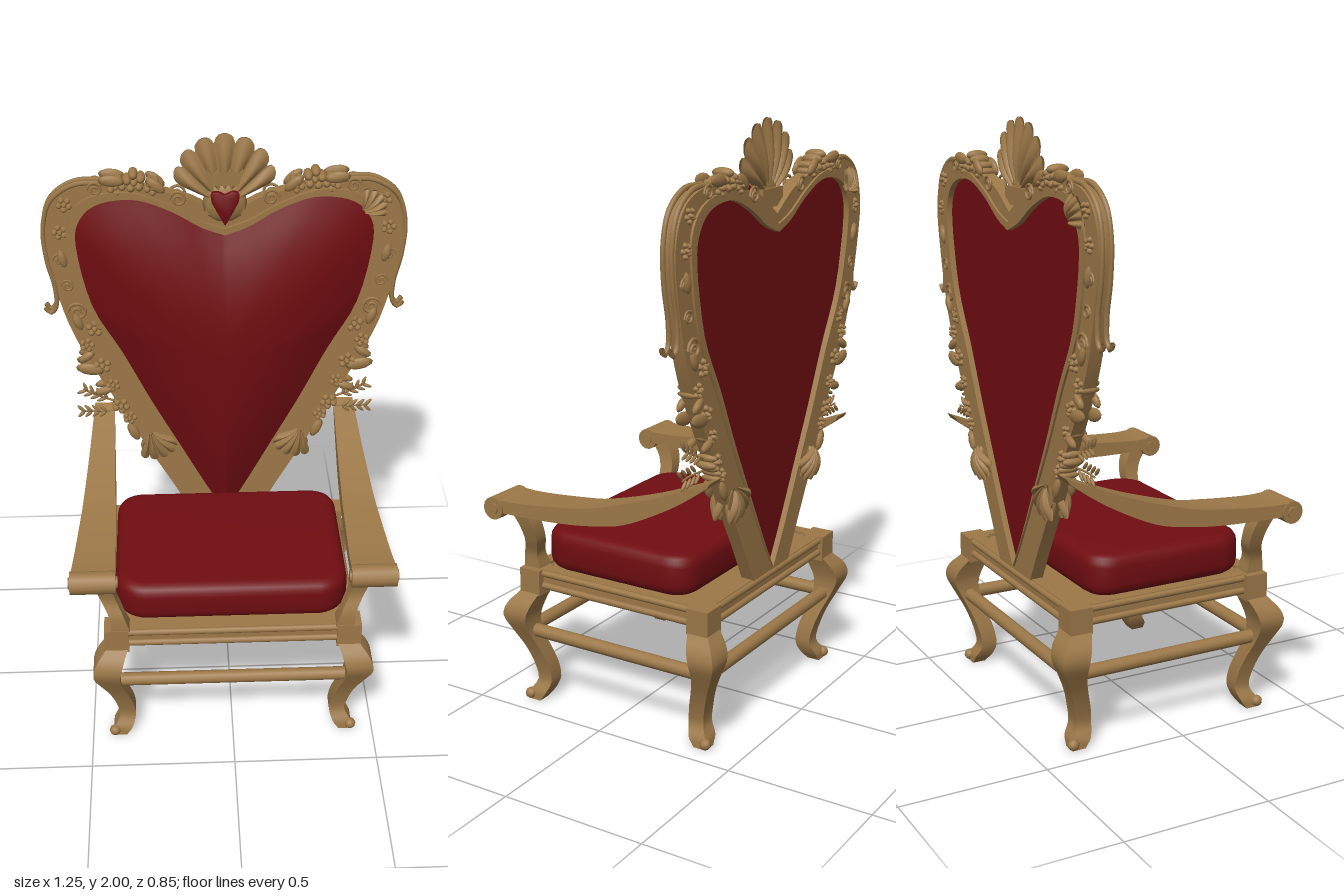
import * as THREE from 'three';
import { mergeGeometries, toCreasedNormals } from 'three/addons/utils/BufferGeometryUtils.js';

const V2 = (x, y) => new THREE.Vector2(x, y);
const V3 = (x, y, z) => new THREE.Vector3(x, y, z);

// Right half of the heart openings, from the top cleft down to the tip
const INNER = [[0, 1.65], [.08, 1.68], [.18, 1.74], [.3, 1.785], [.42, 1.775], [.49, 1.72], [.51, 1.62], [.465, 1.39],
  [.366, 1.2], [.27, 1], [.165, .8], [.07, .62], [0, .5]];
const OUTER = [[0, 1.7], [.1, 1.765], [.2, 1.8], [.33, 1.825], [.46, 1.83], [.56, 1.785], [.607, 1.68], [.6, 1.55],
  [.55, 1.33], [.48, 1.16], [.39, .99], [.29, .8], [.19, .62], [.12, .485]];

function heart(points) {
  const half = new THREE.SplineCurve(points.map(p => V2(...p))).getPoints(48);
  const other = half.map(p => V2(-p.x, p.y)).reverse();
  if (half[48].x < .001) other.shift();
  other.pop();
  return [...half, ...other];
}

function extrude(shape, depth, bevel = 0, steps = 1) {
  return toCreasedNormals(new THREE.ExtrudeGeometry(shape, {
    depth, steps, bevelEnabled: bevel > 0, bevelSize: bevel, bevelThickness: bevel, bevelSegments: 4, curveSegments: 10,
  }), .6);
}

const box = (w, h, d, x, y, z) => new THREE.BoxGeometry(w, h, d).translate(x, y, z);
const ball = (x, y, z, sx, sy, sz) => new THREE.SphereGeometry(1, 10, 8).scale(sx, sy, sz).translate(x, y, z);
const tube = (pts, r, n = 24) =>
  new THREE.TubeGeometry(new THREE.CatmullRomCurve3(pts.map(p => V3(...p))), n, r, 6);

function rod(length, r, axis, x, y, z) {
  const g = new THREE.CylinderGeometry(r, r, length, 14);
  if (axis === 'x') g.rotateZ(Math.PI / 2);
  else g.rotateX(Math.PI / 2);
  return g.translate(x, y, z);
}

// Square loft through sections [y, x, z, halfWidth], top to bottom
function loft(sections) {
  const c = [[1, 1], [1, -1], [-1, -1], [-1, 1]], strips = [];
  const at = (s, k) => [s[1] + c[k % 4][0] * s[3], s[0], s[2] + c[k % 4][1] * s[3]];
  const make = (pos, idx) => {
    const g = new THREE.BufferGeometry();
    g.setAttribute('position', new THREE.Float32BufferAttribute(pos, 3));
    g.setIndex(idx);
    g.computeVertexNormals();
    return g.toNonIndexed();
  };
  for (let k = 0; k < 4; k++) {
    const pos = [], idx = [];
    sections.forEach((s, i) => {
      pos.push(...at(s, k), ...at(s, k + 1));
      const t = 2 * i;
      if (i) idx.push(t, t + 1, t - 1, t, t - 1, t - 2);
    });
    strips.push(make(pos, idx));
  }
  const last = sections[sections.length - 1];
  strips.push(make([0, 1, 2, 3].flatMap(k => at(sections[0], k)), [0, 1, 2, 0, 2, 3]));
  strips.push(make([0, 1, 2, 3].flatMap(k => at(last, k)), [2, 1, 0, 3, 2, 0]));
  return mergeGeometries(strips);
}

// Resample loft sections along a smooth curve
function smoothLoft(rows, n = 24) {
  const a = new THREE.CatmullRomCurve3(rows.map(r => V3(r[1], r[0], r[2]))).getPoints(n);
  const w = new THREE.SplineCurve(rows.map((r, i) => V2(i, r[3]))).getPoints(n);
  return loft(a.map((p, i) => [p.y, p.x, p.z, w[i].y]));
}

function clean(g) {
  g = g.index ? g.toNonIndexed() : g.clone();
  g.deleteAttribute('uv');
  g.clearGroups();
  return g;
}

function mirrored(g) {
  g = g.clone().scale(-1, 1, 1);
  for (const a of Object.values(g.attributes)) {
    for (let i = 0; i < a.count; i += 3) {
      const p = [a.getX(i + 1), a.getY(i + 1), a.getZ(i + 1)];
      a.setXYZ(i + 1, a.getX(i + 2), a.getY(i + 2), a.getZ(i + 2));
      a.setXYZ(i + 2, ...p);
    }
  }
  return g;
}

// Ribbed scallop, hinge at the origin and fanning upward
function scallop(r, lobes, span, thick, squash) {
  const sides = [1, -1].map(side => {
    const g = new THREE.PlaneGeometry(2, 1, lobes * 8, 6), p = g.attributes.position;
    for (let i = 0; i < p.count; i++) {
      const u = p.getX(i), v = p.getY(i) + .5, t = u * span;
      const rib = Math.abs(Math.cos(u * lobes * Math.PI / 2));
      const R = r * (1 - squash * u * u) * (.88 + .12 * Math.sqrt(rib)) * (.12 + .88 * v);
      p.setXYZ(i, R * Math.sin(t), R * Math.cos(t), side * thick * (.25 + .75 * rib) * Math.sin(Math.PI * (.15 + .8 * v)));
    }
    g.computeVertexNormals();
    return g;
  });
  return mergeGeometries(sides);
}

function flower(x, y, r, z = -.348, depth = .038) {
  const out = [ball(x, y, z, r * .35, r * .35, depth * 1.15)];
  for (let i = 0; i < 5; i++) {
    const a = i * Math.PI * .4 + x * 9;
    out.push(ball(x + r * .6 * Math.cos(a), y + r * .6 * Math.sin(a), z, r * .42, r * .42, depth));
  }
  return out;
}

const leaf = (x, y, z, len, angle, w = .3, d = .006) =>
  new THREE.SphereGeometry(1, 8, 6).scale(len / 2, len * w / 2, d).translate(len / 2, 0, 0).rotateZ(angle).translate(x, y, z);

function curl(x, y, r, z) {
  return tube(Array.from({ length: 14 }, (_, i) => {
    const a = i * .75, q = r * (1 - i / 16);
    return [x + q * Math.cos(a), y + q * Math.sin(a), z];
  }), r * .16, 36);
}

export function createModel() {
  const model = new THREE.Group();
  const wood = new THREE.MeshStandardMaterial({ color: 0x9c7848, side: THREE.DoubleSide });
  wood.name = 'carved wood';
  const velvet = new THREE.MeshStandardMaterial({ color: 0x700d11 });
  velvet.name = 'red velvet';
  const part = (name, mat, geos) => {
    const m = new THREE.Mesh(mergeGeometries([geos].flat().map(clean)), mat);
    m.name = name;
    model.add(m);
  };
  const pair = (name, mat, geos) => {
    const g = mergeGeometries([geos].flat().map(clean));
    part(name + 'Left', mat, g);
    part(name + 'Right', mat, mirrored(g));
  };

  // Cabriole legs, bowing outward along the diagonal
  const legRows = [[.41, 0, .038], [.365, .027, .047], [.32, .038, .046], [.26, .025, .035], [.2, .003, .03],
    [.13, -.018, .029], [.07, -.025, .028], [.03, -.008, .032], [0, .004, .024]];
  for (const [name, z, s] of [['frontLeg', .32, 1], ['backLeg', -.345, -1]]) {
    pair(name, wood, [
      smoothLoft(legRows.map(([y, d, w]) => [y, .4 + d, z + s * d, w])),
      ball(.422, .019, z + s * .022, .02, .019, .02),
      box(.084, .09, .08, .4, .445, z),
    ]);
  }

  // Seat rails with beads, underside panel and stretchers
  part('seatRails', wood, [
    ...[.325, -.345].flatMap(z => [box(.74, .07, .045, 0, .455, z),
      ...[.432, .476].map(y => rod(.74, .012, 'x', 0, y, z + Math.sign(z) * .022))]),
    ...[.395, -.395].flatMap(x => [box(.045, .07, .62, x, .455, -.012),
      ...[.432, .476].map(y => rod(.62, .012, 'z', x + Math.sign(x) * .02, y, -.012))]),
    box(.78, .04, .64, 0, .46, -.012),
  ]);
  part('stretchers', wood, [
    rod(.82, .023, 'x', 0, .263, .345), rod(.82, .023, 'x', 0, .263, -.37),
    rod(.71, .023, 'z', .42, .263, -.012), rod(.71, .023, 'z', -.42, .263, -.012),
  ]);

  // Seat cushion with cut corners
  const w = .36, f = -.27, b = .24, c = .06;
  const plan = new THREE.Shape();
  plan.moveTo(-w + c, f).lineTo(w - c, f).quadraticCurveTo(w - .01, f + .01, w, f + c).lineTo(w, b - c)
    .quadraticCurveTo(w, b, w - c, b).lineTo(-w + c, b).quadraticCurveTo(-w, b, -w, b - c).lineTo(-w, f + c)
    .quadraticCurveTo(-w + .01, f + .01, -w + c, f);
  part('seatCushion', velvet, extrude(plan, .062, .04).rotateX(-Math.PI / 2).translate(0, .527, 0));

  // Domed back upholstery
  const outline = heart(INNER), n = outline.length, rings = 14, pos = [], idx = [];
  for (let j = 0; j <= rings; j++) {
    const s = 1.01 * (1 - j / rings);
    for (const p of outline) pos.push(p.x * s, 1.2 + (p.y - 1.2) * s, -.318 + .094 * (1 - Math.min(1, s) ** 2.2));
  }
  for (let j = 0; j < rings; j++) {
    for (let i = 0; i < n; i++) {
      const o0 = j * n + i, o1 = j * n + (i + 1) % n;
      idx.push(o1, o0, o0 + n, o1, o0 + n, o1 + n);
    }
  }
  const dome = new THREE.BufferGeometry();
  dome.setAttribute('position', new THREE.Float32BufferAttribute(pos, 3));
  dome.setIndex(idx);
  dome.computeVertexNormals();
  part('backPad', velvet, dome);
  part('backPanel', velvet, extrude(new THREE.Shape(outline), .03).translate(0, 0, -.36));

  // Heart frame with a raised inner moulding
  const frame = new THREE.Shape(heart(OUTER));
  frame.holes.push(new THREE.Path(outline));
  part('heartFrame', wood, extrude(frame, .046).translate(0, 0, -.372));
  const rim = new THREE.Shape(outline.map(p => V2(p.x * 1.045, p.y + (p.y > 1.55 ? .018 : 0))));
  rim.holes.push(new THREE.Path(outline.map(p => V2(p.x * .985, p.y - (p.y > 1.55 ? .008 : 0)))));
  part('heartMoulding', wood, extrude(rim, .066).translate(0, 0, -.38));

  // Crest shell, its small crown and the heart jewel
  part('crestShell', wood, [scallop(.25, 7, 1.12, .026, .24).translate(0, 1.75, -.33),
    box(.13, .06, .04, 0, 1.75, -.335), ball(0, 1.76, -.325, .075, .07, .025)]);
  const crown = new THREE.Shape([[-.045, 1.83], [.045, 1.83], [.06, 1.885], [.04, 1.865], [.02, 1.885], [0, 1.865],
    [-.02, 1.885], [-.04, 1.865], [-.06, 1.885]].map(p => V2(...p)));
  part('crestCrown', wood, extrude(crown, .02).translate(0, 0, -.318));
  const gem = new THREE.Shape(outline.map(p => V2(p.x * .085, 1.757 + (p.y - 1.2) * .085)).reverse());
  part('heartJewel', velvet, extrude(gem, .012, .004).translate(0, 0, -.303));

  // Armrests: a curved side profile, widening to the front scroll
  const top = [[.4, .762], [.3, .758], [.12, .772], [0, .79], [-.2, .85], [-.41, .935]];
  const under = [[-.4, .918], [-.28, .835], [-.12, .755], [0, .728], [.15, .715], [.38, .715]];
  const side = new THREE.Shape([...new THREE.SplineCurve(top.map(p => V2(...p))).getPoints(24),
    ...new THREE.SplineCurve(under.map(p => V2(...p))).getPoints(24)]);
  const arm = extrude(side, 1);
  const ap = arm.attributes.position;
  for (let i = 0; i < ap.count; i++) {
    const z = ap.getX(i), k = (z + .41) / .82, inX = .402 - .012 * k, outX = .473 + .07 * k;
    ap.setXYZ(i, -(inX + (outX - inX) * ap.getZ(i)), ap.getY(i), z);
  }
  pair('armrest', wood, mirrored(toCreasedNormals(arm, .6)));
  pair('armScroll', wood, [rod(.152, .039, 'x', .467, .727, .386), rod(.164, .02, 'x', .467, .727, .386)]);
  pair('armSupport', wood, smoothLoft([[.72, .445, .345, .032], [.66, .437, .315, .028], [.6, .42, .308, .025],
    [.54, .395, .328, .025], [.485, .385, .325, .032]]));

  // Flowers and scrolls along the frame
  const blooms = [[.455, 1.29, .035], [.485, 1.225, .03], [.435, 1.14, .035], [.4, 1.06, .028], [.375, .97, .034],
    [.345, .92, .028], [.555, 1.66, .03], [.535, 1.76, .03], [.3, 1.835, .04], [.24, 1.815, .03], [.36, 1.82, .034]];
  pair('frameFlowers', wood, blooms.flatMap(p => flower(...p)));
  pair('frameScrolls', wood, [-.322, -.374].flatMap(z => [[.51, 1.36, .036], [.155, 1.775, .03], [.43, 1.815, .026],
    [.56, 1.56, .025], [.54, 1.46, .024]].map(([x, y, r]) => curl(x, y, r, z))));
  pair('frameLeaves', wood, [-.32, -.376].flatMap(z => [[.46, 1.2, .07, -.6], [.43, 1.12, .1, .2], [.5, 1.29, .07, 1.2],
    [.2, 1.8, .08, .7], [.33, 1.84, .09, .1], [.4, 1.05, .07, -.3], [.56, 1.6, .07, -1.8], [.35, .9, .08, -2]]
    .map(([x, y, l, a]) => leaf(x, y, z, l, a, .45, .012))));
  pair('frameTendril', wood, [-.33, -.36].flatMap(z => [
    tube([[.4, 1.835, z], [.5, 1.83, z], [.58, 1.775, z], [.61, 1.68, z], [.605, 1.56, z], [.583, 1.45, z],
      [.585, 1.375, z], [.605, 1.355, z], [.62, 1.375, z]], .009, 48)]));

  // Leafy sprigs above the arms
  const sprig = (x, y, a) => {
    const dx = Math.cos(a), dy = Math.sin(a), out = [tube([[x, y, -.34], [x + dx * .07, y + dy * .07, -.335], [x + dx * .12, y + dy * .12, -.34]], .004, 8)];
    for (let i = 1; i < 5; i++) {
      for (const s of [-.8, .8]) out.push(leaf(x + dx * .026 * i, y + dy * .026 * i, -.337 + s * .01, .042, a + s));
    }
    return out;
  };
  pair('sprig', wood, [...sprig(.4, .945, 0), ...sprig(.4, .985, .45)]);

  // Carved shells low on the posts and on the shoulders
  pair('postShell', wood, [-.325, -.38].map(z =>
    scallop(.13, 5, .8, .025, .1).rotateZ(2.7).translate(.275, .865, z)));
  const shoulder = scallop(.09, 5, .9, .024, .1);
  part('shoulderShellLeft', wood, shoulder.clone().rotateZ(-.9).translate(.46, 1.72, -.315));
  part('shoulderShellRight', wood, shoulder.clone().rotateZ(.9).translate(-.46, 1.72, -.388));

  return model;
}
